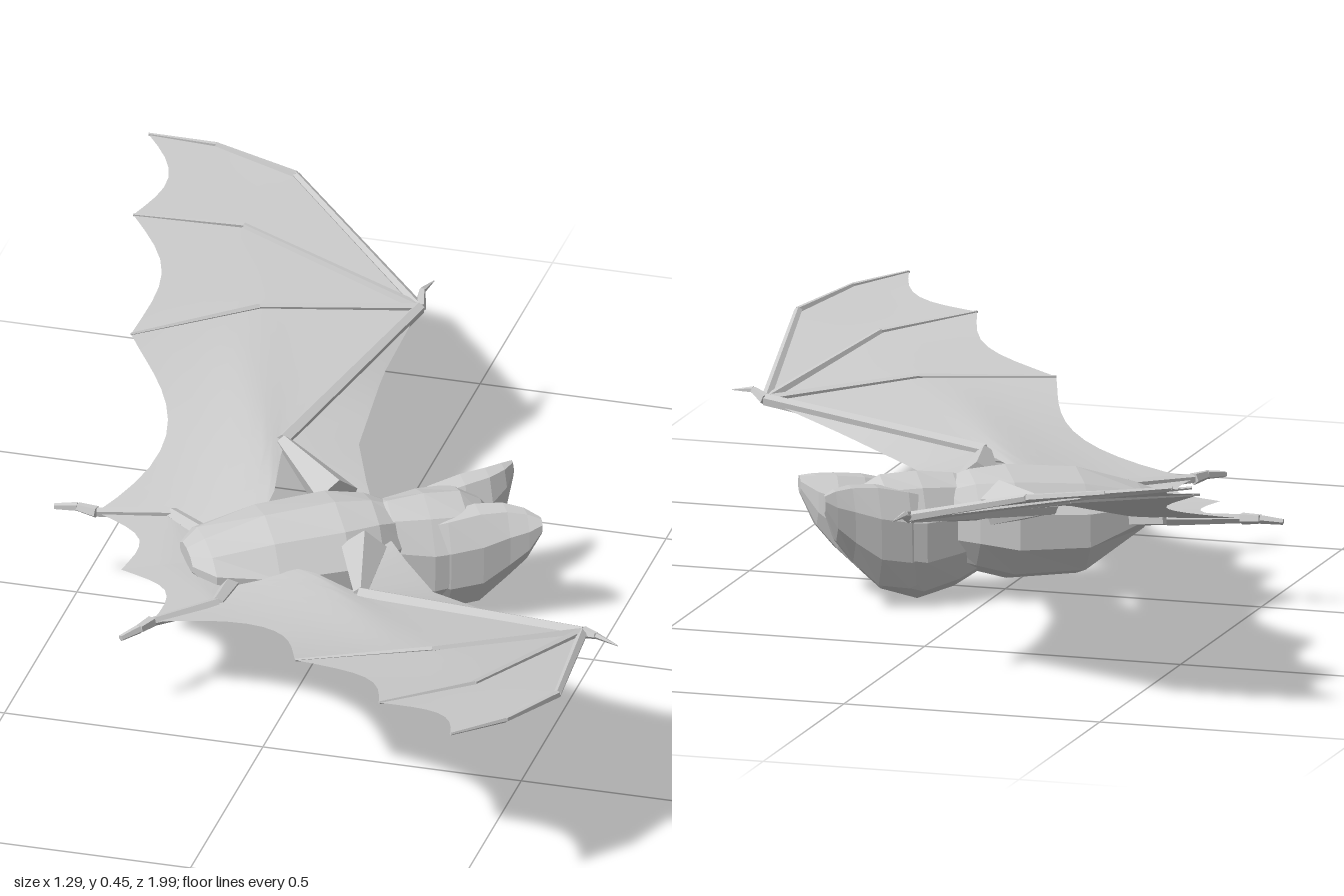
import * as THREE from 'three';
import { mergeGeometries } from 'three/addons/utils/BufferGeometryUtils.js';

const flat = new THREE.MeshStandardMaterial({ color: 0xcccccc, flatShading: true });
const skin = new THREE.MeshStandardMaterial({ color: 0xcccccc, side: THREE.DoubleSide });

function mesh(name, geometry, material = flat) {
  const m = new THREE.Mesh(geometry, material);
  m.name = name;
  return m;
}

function indexed(positions, index) {
  const g = new THREE.BufferGeometry();
  g.setAttribute('position', new THREE.Float32BufferAttribute(positions, 3));
  g.setIndex(index);
  g.computeVertexNormals();
  return g;
}

// Closed loft along z; each section is [z, bottom, top, halfWidth, centreX]
function loft(sections, sides = 10) {
  const pos = [], idx = [];
  for (const [z, y0, y1, w, cx = 0] of sections) {
    for (let i = 0; i < sides; i++) {
      const a = ((i + 0.5) / sides) * Math.PI * 2;
      pos.push(cx + w * Math.cos(a), (y0 + y1) / 2 + ((y1 - y0) / 2) * Math.sin(a), z);
    }
  }
  const last = (sections.length - 1) * sides;
  for (let k = 0; k < last; k += sides) {
    for (let i = 0; i < sides; i++) {
      const j = (i + 1) % sides;
      idx.push(k + i, k + j, k + sides + j, k + i, k + sides + j, k + sides + i);
    }
  }
  for (let i = 1; i < sides - 1; i++) {
    idx.push(0, i + 1, i, last, last + i, last + i + 1);
  }
  return indexed(pos, idx);
}

// Tapered jointed bone along a list of points
function bone(points, r0, r1) {
  const n = points.length - 1;
  return mergeGeometries(points.slice(1).map((b, i) => {
    const a = points[i], dir = b.clone().sub(a);
    const ra = r0 + (r1 - r0) * (i / n), rb = r0 + (r1 - r0) * ((i + 1) / n);
    const g = new THREE.CylinderGeometry(rb, ra, dir.length(), 5);
    g.applyQuaternion(new THREE.Quaternion().setFromUnitVectors(new THREE.Vector3(0, 1, 0), dir.clone().normalize()));
    return g.translate(...a.clone().add(b).multiplyScalar(0.5).toArray());
  }));
}

function path(points) {
  const p = new THREE.CurvePath();
  for (let i = 1; i < points.length; i++) p.add(new THREE.LineCurve3(points[i - 1], points[i]));
  return p;
}

// Skin stretched between two bones, with a scalloped free edge
function membrane(pointsA, pointsB, scallop, nu = 14, nv = 8) {
  const a = path(pointsA), b = path(pointsB), pos = [], idx = [];
  for (let i = 0; i <= nu; i++) {
    for (let j = 0; j <= nv; j++) {
      const v = j / nv, u = (i / nu) * (1 - scallop * Math.sin(Math.PI * v));
      pos.push(...a.getPoint(u).lerp(b.getPoint(u), v).toArray());
      if (i < nu && j < nv) {
        const k = i * (nv + 1) + j, m = k + nv + 1;
        idx.push(k, k + 1, m + 1, k, m + 1, m);
      }
    }
  }
  return indexed(pos, idx);
}

function side(sign, label) {
  const g = new THREE.Group();
  g.name = label + 'Side';
  const pts = (...list) => list.map(([x, y, z]) => new THREE.Vector3(x * sign, y, z));
  const [shoulder, elbow, wrist, flank, hip, knee, ankle] = pts(
    [0.1, 0.19, 0.1], [0.29, 0.215, 0.045], [0.615, 0.272, 0.39], [0.12, 0.185, -0.02],
    [0.09, 0.15, -0.15], [0.172, 0.16, -0.2], [0.208, 0.16, -0.335]);

  // Arm, thumb and three fingers
  const fingers = [
    [wrist, ...pts([0.985, 0.368, 0.245], [1.09, 0.39, 0.118], [1.137, 0.402, 0])],
    [wrist, ...pts([0.868, 0.342, 0.115], [0.925, 0.36, -0.083])],
    [wrist, ...pts([0.65, 0.295, 0.09], [0.618, 0.288, -0.165])],
  ];
  g.add(mesh('upperArm', bone([shoulder, elbow], 0.045, 0.014)));
  g.add(mesh('forearm', bone([elbow, wrist], 0.015, 0.012)));
  g.add(mesh('thumb', bone([wrist, ...pts([0.655, 0.285, 0.405], [0.692, 0.28, 0.437])], 0.012, 0.001)));
  fingers.forEach((f, i) => g.add(mesh('fingerBone' + (i + 1), bone(f, 0.01, 0.003))));

  // Wing skin
  const leading = pts([0.06, 0.19, 0.16], [0.14, 0.19, 0.168], [0.28, 0.195, 0.188], [0.46, 0.23, 0.28]);
  g.add(mesh('leadingSkin', membrane([...leading, wrist], [shoulder, elbow, wrist], 0), skin));
  g.add(mesh('outerSkin', membrane(fingers[0], fingers[1], 0.08), skin));
  g.add(mesh('middleSkin', membrane(fingers[1], fingers[2], 0.1), skin));
  g.add(mesh('innerSkin', membrane(fingers[2], [wrist, elbow, flank, hip, knee, ankle], 0.13, 20, 12), skin));

  // Leg, foot and tail skin
  g.add(mesh('leg', bone([hip, knee, ankle], 0.018, 0.009)));
  g.add(mesh('foot', bone([ankle, ...pts([0.232, 0.162, -0.365], [0.25, 0.158, -0.405])], 0.012, 0.006)));
  g.add(mesh('tailSkin', membrane([hip, knee, ankle], pts([0, 0.15, -0.15], [0, 0.155, -0.25], [0, 0.155, -0.34]), 0.27), skin));

  // Broad ear flowing out of the side of the head
  g.add(mesh('ear', loft([
    [0.2, 0.05, 0.2, 0.04, 0.035 * sign],
    [0.27, 0.025, 0.222, 0.05, 0.052 * sign],
    [0.33, 0.035, 0.235, 0.056, 0.056 * sign],
    [0.38, 0.085, 0.236, 0.048, 0.066 * sign],
    [0.415, 0.13, 0.232, 0.034, 0.085 * sign],
    [0.439, 0.19, 0.224, 0.012, 0.108 * sign],
  ], 8)));
  return g;
}

export function createModel() {
  const bat = new THREE.Group();
  bat.name = 'batParts';

  bat.add(mesh('body', loft([
    [-0.215, 0.145, 0.185, 0.05],
    [-0.18, 0.115, 0.2, 0.1],
    [-0.065, 0.033, 0.235, 0.13],
    [0.07, 0.03, 0.246, 0.135],
    [0.14, 0.05, 0.24, 0.105],
    [0.2, 0.07, 0.22, 0.06],
  ])));
  bat.add(mesh('head', loft([
    [0.1, 0.06, 0.21, 0.05],
    [0.17, 0.02, 0.235, 0.075],
    [0.24, 0, 0.242, 0.1],
    [0.31, 0.022, 0.238, 0.105],
    [0.35, 0.06, 0.215, 0.085],
    [0.375, 0.1, 0.185, 0.04],
  ])));
  bat.add(side(1, 'left'), side(-1, 'right'));

  // Banked slightly and turned in flight
  bat.position.y = -0.2;
  const bank = new THREE.Group();
  bank.name = 'bank';
  bank.rotation.z = 0.043;
  bank.add(bat);
  const model = new THREE.Group();
  model.name = 'flyingBat';
  const turn = new THREE.Group();
  turn.name = 'turn';
  turn.rotation.y = (Math.PI * 2) / 3;
  turn.position.set(-0.07, 0.2, 0.005);
  turn.add(bank);
  model.add(turn);
  return model;
}
